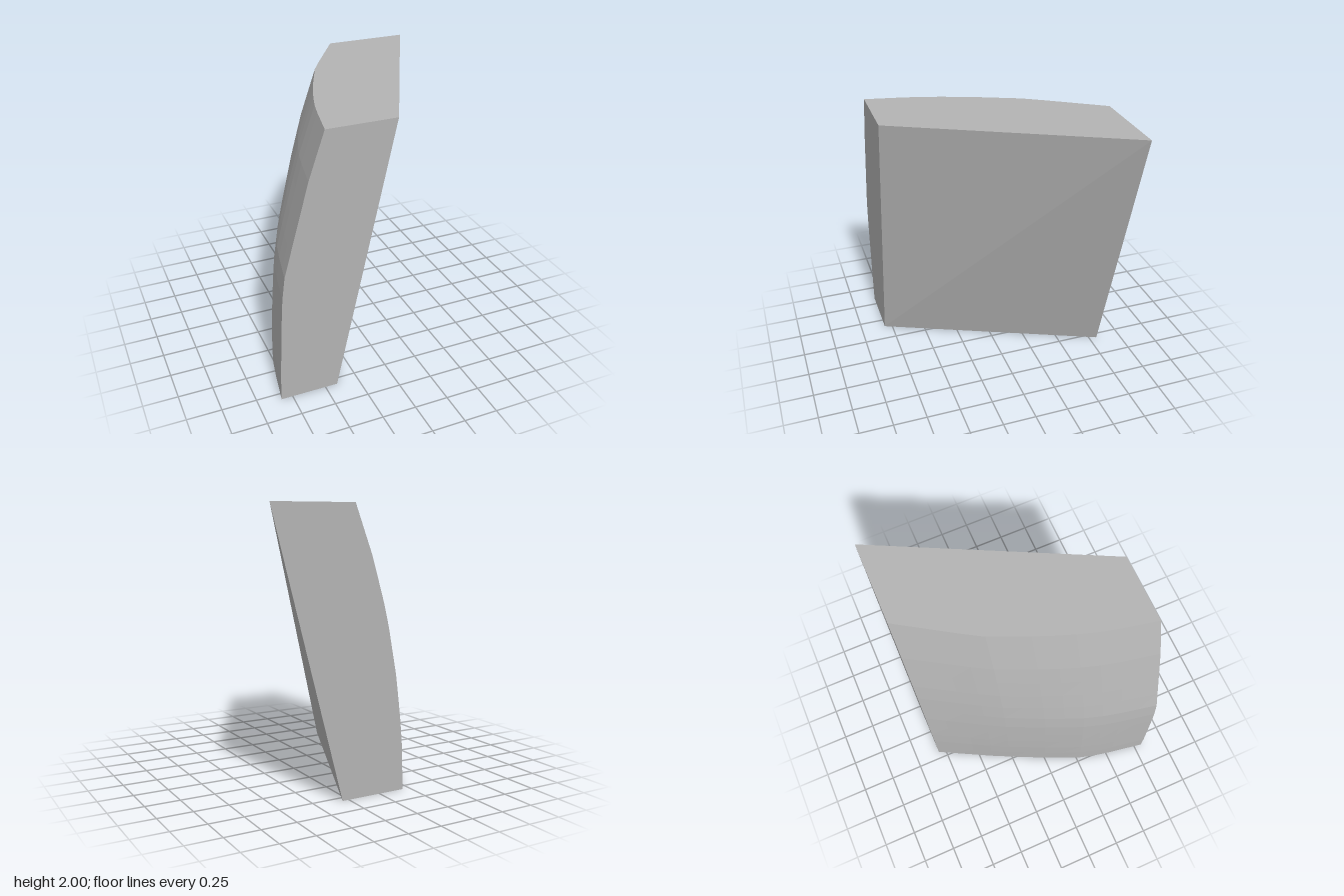
import * as THREE from 'three';

const H = 2, D = 0.81, N = 12;

// Piecewise-linear profile through [t, x] points
function profile(points) {
  return (t) => {
    let i = 0;
    while (i < points.length - 2 && t > points[i + 1][0]) i++;
    const [t0, x0] = points[i], [t1, x1] = points[i + 1];
    return x0 + (x1 - x0) * (t - t0) / (t1 - t0);
  };
}

// The four border curves of the bulging face
const frontEdge = profile([[0, -0.833], [0.2, -0.83], [0.8, -0.80], [1, -0.775], [1.68, -0.59], [2, -0.48]]);
const backEdge = profile([[0, -0.195], [0.4, -0.18], [0.81, -0.13], [1.25, -0.045], [1.65, 0.075], [2, 0.21]]);
const topEdge = profile([[-D, 0.21], [-0.48, 0], [-0.29, -0.12], [0, -0.245], [0.2, -0.325], [0.45, -0.405], [D, -0.48]]);
const bottomEdge = profile([[-D, -0.195], [-0.375, -0.425], [0, -0.605], [0.3, -0.735], [0.47, -0.775], [D, -0.833]]);

// Bulging face: blend of its four borders
function outer(y, z) {
  const v = y / H, u = (z + D) / (2 * D);
  const sides = backEdge(y) * (1 - u) + frontEdge(y) * u;
  const ends = bottomEdge(z) * (1 - v) + topEdge(z) * v;
  const corners = (1 - v) * (-0.195 * (1 - u) - 0.833 * u) + v * (0.21 * (1 - u) - 0.48 * u);
  return [sides + ends - corners, y, z];
}

// Slanted flat face on the other side
function inner(y, z) {
  const v = y / H, u = (z + D) / (2 * D);
  return [(0.30 + 0.53 * v) * (1 - u) + (-0.41 + 0.43 * v) * u, y, z];
}

export function createModel() {
  const group = new THREE.Group();
  const grey = new THREE.MeshStandardMaterial({ color: 0xb3b3b3, flatShading: true });
  grey.name = 'grey';

  // Makes a mesh from quads with corners in counter-clockwise order
  function addFace(name, quads) {
    const pos = [];
    for (const [a, b, c, d] of quads) pos.push(...a, ...b, ...c, ...a, ...c, ...d);
    const geo = new THREE.BufferGeometry();
    geo.setAttribute('position', new THREE.Float32BufferAttribute(pos, 3));
    geo.computeVertexNormals();
    const mesh = new THREE.Mesh(geo, grey);
    mesh.name = name;
    group.add(mesh);
  }

  const curved = [], front = [], back = [], top = [], bottom = [];
  for (let i = 0; i < N; i++) {
    const y0 = H * i / N, y1 = H * (i + 1) / N;
    const z0 = -D + 2 * D * i / N, z1 = -D + 2 * D * (i + 1) / N;
    front.push([outer(y0, D), inner(y0, D), inner(y1, D), outer(y1, D)]);
    back.push([inner(y0, -D), outer(y0, -D), outer(y1, -D), inner(y1, -D)]);
    top.push([outer(H, z1), inner(H, z1), inner(H, z0), outer(H, z0)]);
    bottom.push([outer(0, z0), inner(0, z0), inner(0, z1), outer(0, z1)]);
    for (let j = 0; j < N; j++) {
      const za = -D + 2 * D * j / N, zb = -D + 2 * D * (j + 1) / N;
      curved.push([outer(y0, za), outer(y0, zb), outer(y1, zb), outer(y1, za)]);
    }
  }
  addFace('curvedFace', curved);
  addFace('frontFace', front);
  addFace('backFace', back);
  addFace('topFace', top);
  addFace('bottomFace', bottom);
  addFace('slantedFace', [[inner(0, D), inner(0, -D), inner(H, -D), inner(H, D)]]);
  return group;
}
